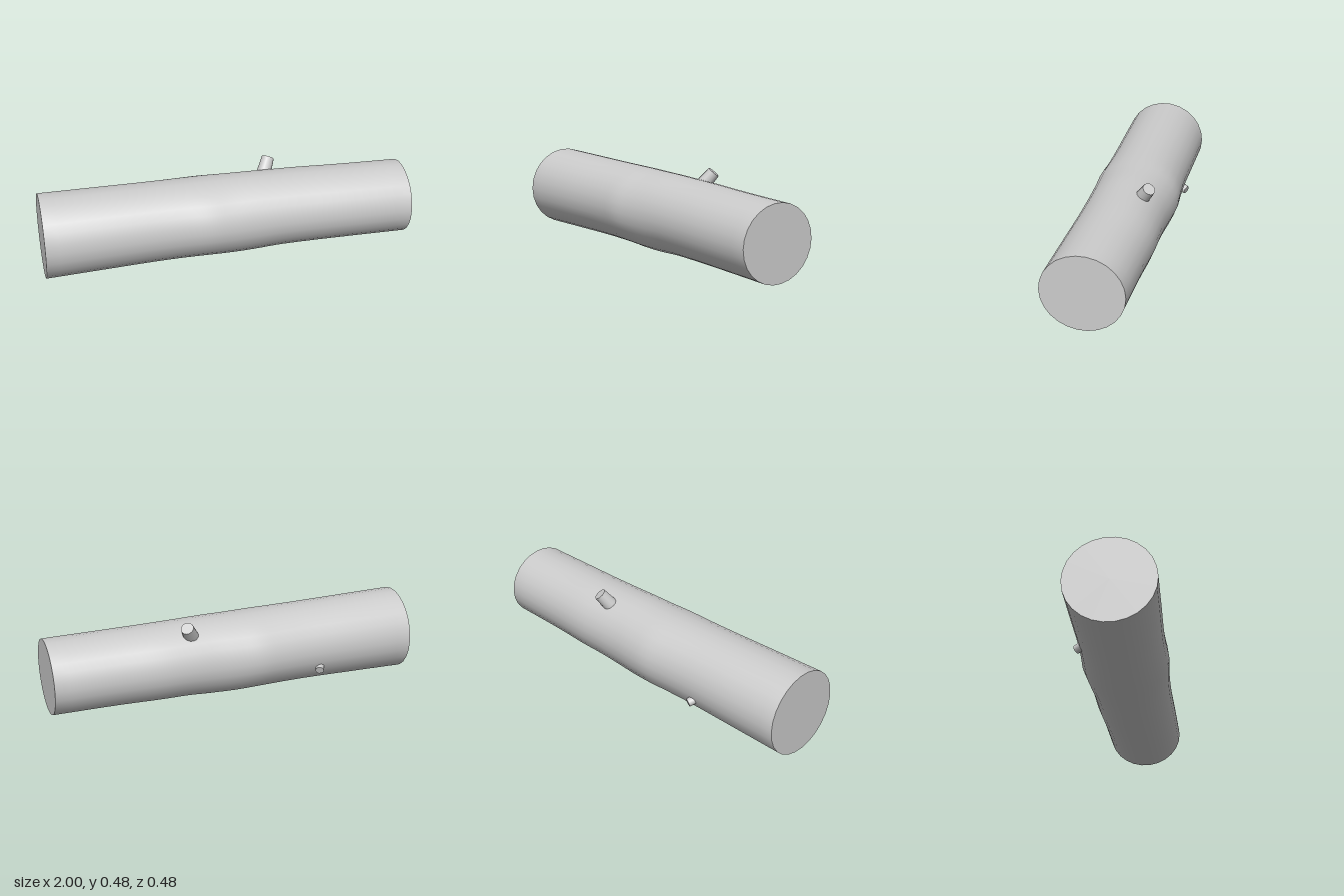
import * as THREE from 'three';
import { toCreasedNormals } from 'three/addons/utils/BufferGeometryUtils.js';

// Stations along the log: x, bottom y, top y, back z, front z
const STATIONS = [
  [-1, 0.003, 0.455, -0.222, 0.236],
  [-0.7, 0.012, 0.452, -0.224, 0.229],
  [-0.4, 0.02, 0.449, -0.226, 0.222],
  [-0.25, 0.022, 0.448, -0.233, 0.224],
  [-0.12, 0.022, 0.447, -0.241, 0.229],
  [0, 0.018, 0.446, -0.234, 0.222],
  [0.13, 0.02, 0.446, -0.225, 0.216],
  [0.27, 0.028, 0.443, -0.223, 0.213],
  [0.42, 0.03, 0.44, -0.223, 0.213],
  [0.65, 0.032, 0.435, -0.212, 0.217],
  [1, 0.031, 0.43, -0.203, 0.222],
];

const material = new THREE.MeshStandardMaterial({ color: 0xcccccc });

// Unit cylinder laid along x, each ring fitted to the smoothed stations
function trunkGeometry() {
  const spline = (a, b) => new THREE.CatmullRomCurve3(
    STATIONS.map((s) => new THREE.Vector3(s[0], s[a], s[b])));
  const vertical = spline(1, 2);
  const depth = spline(3, 4);

  const geo = new THREE.CylinderGeometry(1, 1, 2, 26, 40);
  geo.rotateZ(-Math.PI / 2);
  const pos = geo.attributes.position;
  for (let i = 0; i < pos.count; i++) {
    const u = THREE.MathUtils.clamp((pos.getX(i) + 1) / 2, 0, 1);
    const v = vertical.getPoint(u);
    const d = depth.getPoint(u);
    pos.setXYZ(i, v.x,
      (v.y + v.z) / 2 + pos.getY(i) * (v.z - v.y) / 2,
      (d.y + d.z) / 2 + pos.getZ(i) * (d.z - d.y) / 2);
  }
  return toCreasedNormals(geo, 0.7);
}

// Cut branch: tapered cylinder ending at tip, pointing along dir, rooted in the log
function branchStub(name, tip, dir, rTip, rBase, length, sides) {
  const geo = new THREE.CylinderGeometry(rTip, rBase, length, sides);
  geo.translate(0, -length / 2, 0);
  const stub = new THREE.Mesh(geo, material);
  stub.name = name;
  stub.position.set(...tip);
  stub.quaternion.setFromUnitVectors(
    new THREE.Vector3(0, 1, 0), new THREE.Vector3(...dir).normalize());
  return stub;
}

export function createModel() {
  const group = new THREE.Group();
  group.name = 'log';

  const trunk = new THREE.Mesh(trunkGeometry(), material);
  trunk.name = 'trunk';
  group.add(trunk);

  group.add(branchStub('largeBranchStub', [0.283, 0.465, -0.158], [0.4, 0.77, -0.5], 0.034, 0.042, 0.12, 14));
  group.add(branchStub('smallBranchStub', [-0.45, 0.137, -0.225], [0.4, -0.33, -0.86], 0.023, 0.026, 0.08, 10));
  return group;
}
